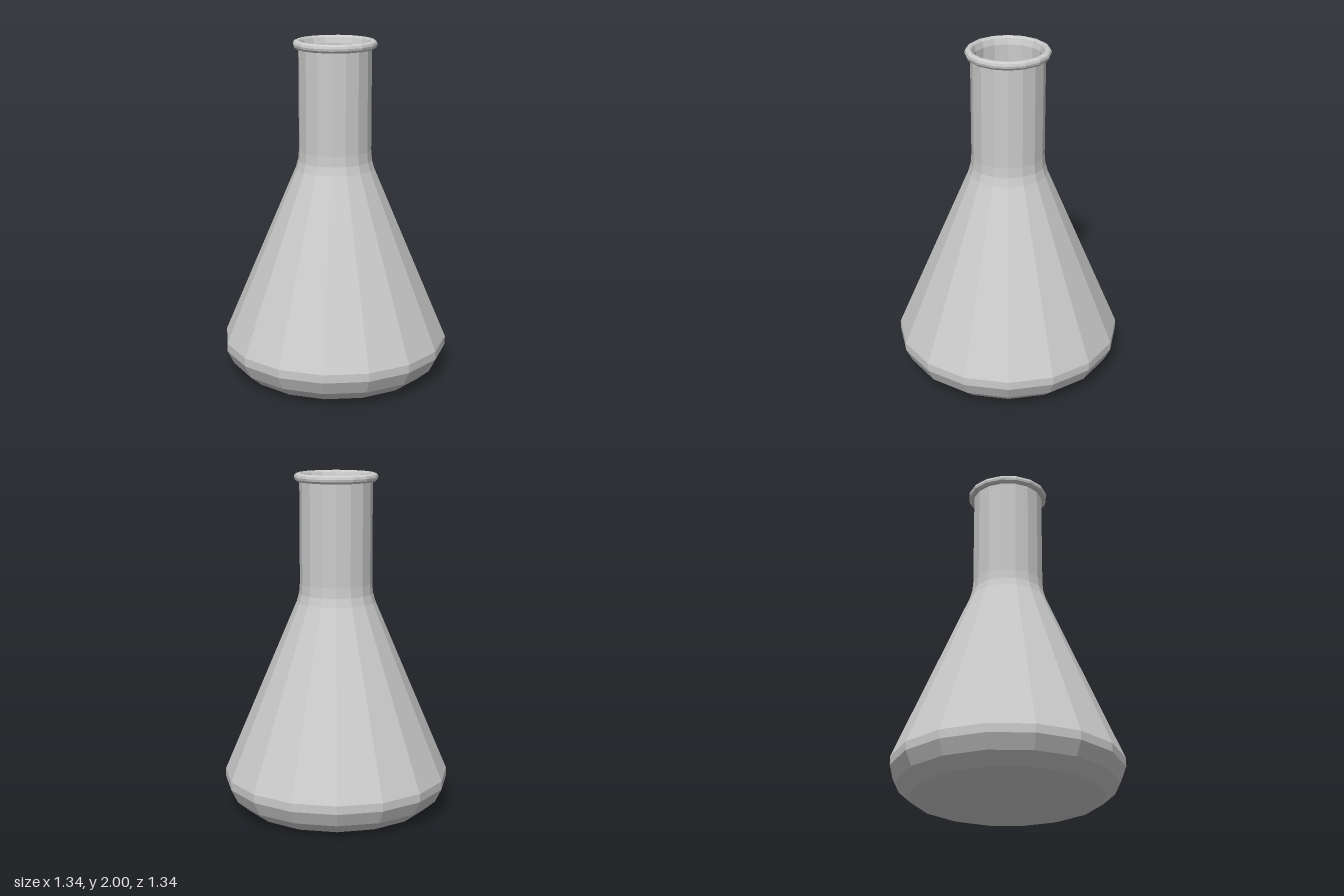
import * as THREE from 'three';

const SIDES = 16;

// Revolves [radius, height] pairs; rising profiles face outward, falling ones inward.
function lathe(name, points, material) {
  const profile = points.map(([r, y]) => new THREE.Vector2(r, y));
  const mesh = new THREE.Mesh(new THREE.LatheGeometry(profile, SIDES), material);
  mesh.name = name;
  return mesh;
}

export function createModel() {
  const group = new THREE.Group();
  group.name = 'conicalFlask';
  const glass = new THREE.MeshStandardMaterial({ color: 0xcccccc, flatShading: true });

  // Flat base, rounded heel, cone, shoulder and neck
  const outer = [
    [0, 0], [0.5, 0], [0.555, 0.018], [0.63, 0.083], [0.67, 0.165], [0.67, 0.215],
    [0.232, 1.25], [0.218, 1.3], [0.213, 1.36], [0.213, 1.955],
  ];

  // Rolled rim, closing over the thickness of the wall
  const rim = [
    [0.213, 1.955], [0.23, 1.953], [0.241, 1.965], [0.244, 1.978], [0.24, 1.992],
    [0.228, 2], [0.215, 2], [0.207, 1.99], [0.196, 1.955],
  ];

  // Inside wall and floor
  const inner = [
    [0.196, 1.955], [0.196, 1.36], [0.202, 1.3], [0.216, 1.25], [0.652, 0.215],
    [0.652, 0.168], [0.615, 0.095], [0.548, 0.036], [0.5, 0.02], [0, 0.02],
  ];

  group.add(
    lathe('flaskBody', outer, glass),
    lathe('rim', rim, glass),
    lathe('innerWall', inner, glass),
  );
  return group;
}
